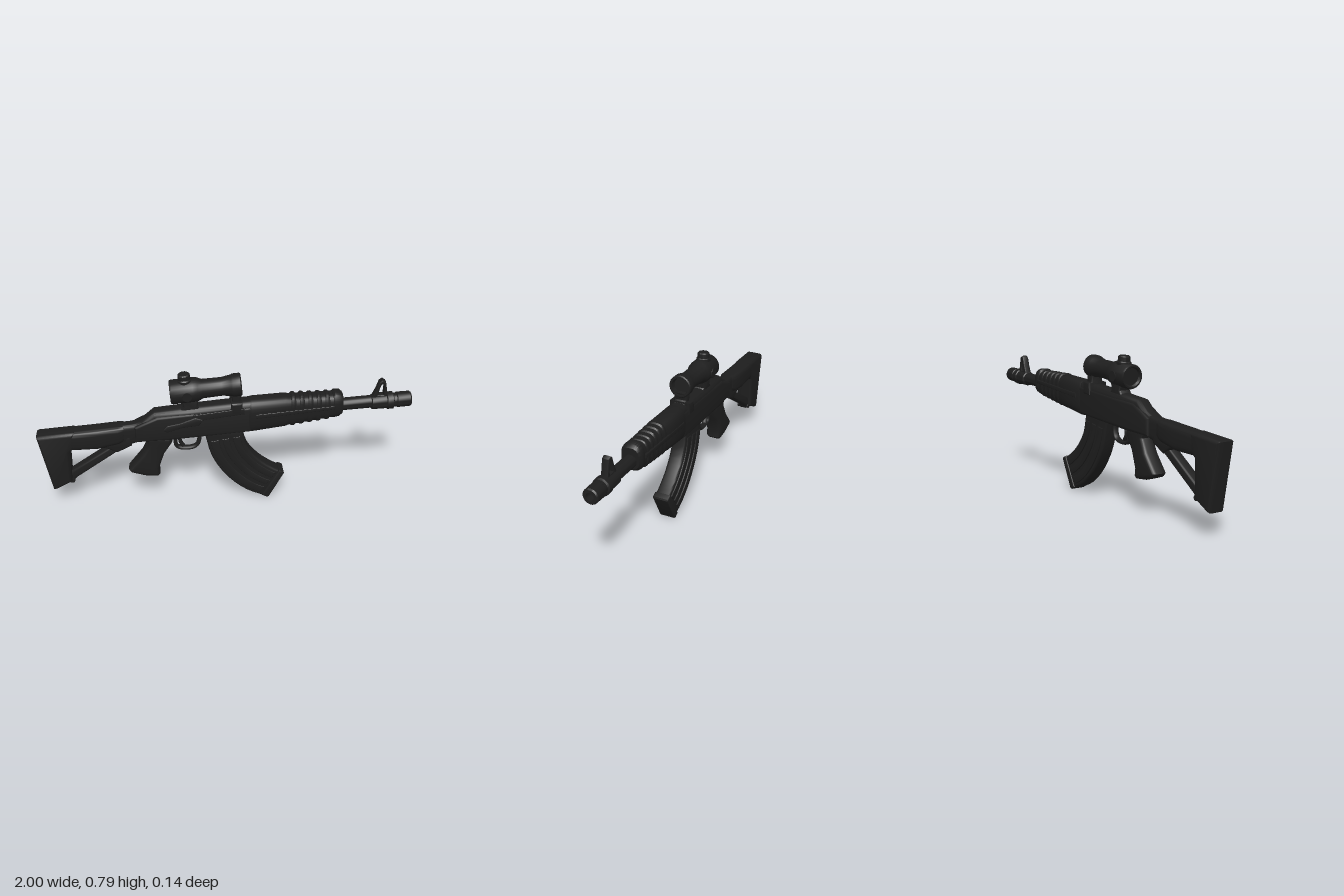
import * as THREE from 'three';
import { toCreasedNormals } from 'three/addons/utils/BufferGeometryUtils.js';

export function createModel() {
  const model = new THREE.Group();
  const black = new THREE.MeshStandardMaterial({ color: 0x1e1e1e });
  black.name = 'matte black';

  const add = (name, geometry, x = 0, y = 0, z = 0, tilt = 0) => {
    const mesh = new THREE.Mesh(geometry, black);
    mesh.name = name;
    mesh.position.set(x, y, z);
    mesh.rotation.z = tilt;
    model.add(mesh);
    return mesh;
  };
  const vecs = (pts) => pts.map(([x, y]) => new THREE.Vector2(x, y));

  // Side profile given thickness along z, with rounded edges
  const slab = (pts, half, bevel, holes = []) => {
    const shape = new THREE.Shape(vecs(pts));
    holes.forEach((h) => shape.holes.push(new THREE.Path(vecs(h))));
    const g = new THREE.ExtrudeGeometry(shape, {
      depth: 2 * (half - bevel), bevelThickness: bevel, bevelSize: bevel,
      bevelOffset: -bevel, bevelSegments: 3, curveSegments: 8,
    });
    g.translate(0, 0, bevel - half);
    return toCreasedNormals(g, 0.7);
  };

  // Turned part along x from [x, radius] pairs
  const turned = (profile, sides = 28) => {
    const g = new THREE.LatheGeometry(vecs(profile.map(([x, r]) => [r, x])), sides);
    g.rotateZ(-Math.PI / 2);
    return toCreasedNormals(g, 0.6);
  };

  // Rounded box sections along x: [x, bottom, top, halfWidth]
  const loft = (stations, round = 0.45, n = 32) => {
    const first = stations[0], last = stations[stations.length - 1];
    const cap = ([x, b, t]) => [x, (b + t) / 2, (b + t) / 2, 0];
    const rings = [cap(first), ...stations, cap(last)];
    const pos = [], index = [];
    const bend = (v) => Math.sign(v) * Math.abs(v) ** round;
    for (const [x, b, t, w] of rings) {
      for (let i = 0; i < n; i++) {
        const a = (i / n) * Math.PI * 2;
        pos.push(x, (b + t) / 2 + (bend(Math.sin(a)) * (t - b)) / 2, bend(Math.cos(a)) * w);
      }
    }
    for (let r = 0; r < rings.length - 1; r++) {
      for (let i = 0; i < n; i++) {
        const a = r * n + i, b = r * n + ((i + 1) % n);
        index.push(a, b, a + n, b, b + n, a + n);
      }
    }
    const g = new THREE.BufferGeometry();
    g.setAttribute('position', new THREE.Float32BufferAttribute(pos, 3));
    g.setIndex(index);
    // Wind the faces outward
    for (let i = 0; i < index.length; i += 3) {
      const s = index[i + 1];
      index[i + 1] = index[i + 2];
      index[i + 2] = s;
    }
    g.setIndex(index);
    return toCreasedNormals(g, 0.75);
  };

  // Stock: butt, upper tube, diagonal strut and gusset
  add('buttPad', slab([[-1, 0.46], [-0.94, 0.12], [-0.92, 0.125], [-0.835, 0.17], [-0.83, 0.36],
    [-0.8, 0.39], [-0.8, 0.48], [-0.99, 0.465]], 0.05, 0.018));
  add('stockTube', loft([[-0.9, 0.37, 0.472, 0.047], [-0.8, 0.368, 0.48, 0.05], [-0.68, 0.37, 0.49, 0.05],
    [-0.57, 0.395, 0.5, 0.049], [-0.54, 0.41, 0.502, 0.04]]));
  add('stockLowerRail', slab([[-0.72, 0.38], [-0.64, 0.37], [-0.58, 0.34], [-0.5, 0.38], [-0.5, 0.44],
    [-0.6, 0.44]], 0.036, 0.012));
  add('stockStrut', slab([[-0.86, 0.15], [-0.83, 0.155], [-0.81, 0.185], [-0.57, 0.35], [-0.6, 0.385],
    [-0.86, 0.21]], 0.03, 0.012));
  add('stockCatch', new THREE.CylinderGeometry(0.015, 0.015, 0.07, 14).rotateX(Math.PI / 2), -0.835, 0.172);
  add('stockNeck', loft([[-0.57, 0.38, 0.5, 0.038], [-0.5, 0.385, 0.507, 0.035], [-0.46, 0.4, 0.515, 0.038],
    [-0.4, 0.41, 0.53, 0.04]]));

  // Receiver body with its sloping rear cover
  add('receiver', slab([[-0.48, 0.41], [-0.3, 0.415], [0.14, 0.45], [0.14, 0.6], [-0.36, 0.56],
    [-0.48, 0.5]], 0.053, 0.014));
  add('receiverCover', loft([[-0.48, 0.43, 0.51, 0.036], [-0.44, 0.44, 0.527, 0.04], [-0.375, 0.46, 0.583, 0.046],
    [-0.2, 0.47, 0.6, 0.05], [0.15, 0.49, 0.63, 0.05]], 0.6));

  // Charging handle and lever on the +z side
  add('boltSlot', slab([[-0.18, 0.53], [-0.17, 0.57], [0.1, 0.6], [0.1, 0.565]], 0.006, 0.003), 0, 0, 0.052);
  add('chargingHandle', slab([[-0.33, 0.49], [-0.31, 0.475], [-0.23, 0.5], [-0.14, 0.51], [-0.12, 0.545],
    [-0.16, 0.56], [-0.24, 0.53], [-0.31, 0.515]], 0.012, 0.006), 0, 0, 0.056);

  // Pistol grip
  add('grip', slab([[-0.43, 0.43], [-0.415, 0.39], [-0.45, 0.32], [-0.525, 0.225], [-0.51, 0.205],
    [-0.44, 0.182], [-0.37, 0.175], [-0.355, 0.19], [-0.36, 0.23], [-0.33, 0.32], [-0.285, 0.39],
    [-0.28, 0.43]], 0.045, 0.022));

  // Trigger and guard
  const bar = (pts, r) => new THREE.TubeGeometry(
    new THREE.CatmullRomCurve3(pts.map(([x, y]) => new THREE.Vector3(x, y, 0))), 32, r, 10).scale(1, 1, 1.6);
  add('triggerGuard', bar([[-0.262, 0.43], [-0.265, 0.36], [-0.25, 0.342], [-0.18, 0.338], [-0.15, 0.355],
    [-0.138, 0.39], [-0.14, 0.44]], 0.011));
  add('trigger', bar([[-0.235, 0.43], [-0.243, 0.4], [-0.24, 0.375], [-0.225, 0.35]], 0.01));

  // Curved magazine, raised ribs on both sides, and floor plate
  const back = new THREE.CatmullRomCurve3([[-0.11, 0.44], [-0.07, 0.285], [0.015, 0.15], [0.12, 0.057], [0.225, 0.008]]
    .map(([x, y]) => new THREE.Vector3(x, y, 0)));
  const front = new THREE.CatmullRomCurve3([[0.09, 0.46], [0.12, 0.345], [0.185, 0.26], [0.25, 0.208], [0.315, 0.17]]
    .map(([x, y]) => new THREE.Vector3(x, y, 0)));
  const strip = (a, b, t0, t1) => {
    const pts = [];
    for (let i = 0; i <= 12; i++) {
      const t = t0 + ((t1 - t0) * i) / 12;
      pts.push(back.getPoint(t).lerp(front.getPoint(t), a));
    }
    for (let i = 12; i >= 0; i--) {
      const t = t0 + ((t1 - t0) * i) / 12;
      pts.push(back.getPoint(t).lerp(front.getPoint(t), b));
    }
    return pts.map((p) => [p.x, p.y]);
  };
  add('magazine', slab(strip(0, 1, 0, 1), 0.04, 0.012));
  for (const side of [1, -1]) {
    for (const [a, b] of [[0.1, 0.32], [0.42, 0.6], [0.7, 0.9]]) {
      add('magazineRib', slab(strip(a, b, 0.08, 0.9), 0.006, 0.003), 0, 0, side * 0.04);
    }
  }
  add('magazineFloor', slab([[0.205, 0.02], [0.235, 0.003], [0.245, 0.008], [0.325, 0.163], [0.322, 0.172],
    [0.295, 0.185]], 0.046, 0.008));

  // Handguard, its bands, and side vents
  add('handguard', loft([[0.12, 0.44, 0.625, 0.052], [0.14, 0.437, 0.632, 0.059], [0.32, 0.463, 0.642, 0.06],
    [0.335, 0.468, 0.638, 0.055], [0.58, 0.508, 0.645, 0.052]], 0.65));
  add('handguardCap', loft([[0.57, 0.505, 0.648, 0.05], [0.58, 0.502, 0.657, 0.056], [0.61, 0.51, 0.655, 0.056],
    [0.625, 0.525, 0.64, 0.048]], 0.75));
  for (let i = 0; i < 5; i++) {
    const x = 0.36 + i * 0.045;
    add('handguardBand', loft([[x - 0.013, 0.469 + i * 0.0075, 0.642, 0.054], [x - 0.006, 0.465 + i * 0.0075, 0.649, 0.057],
      [x + 0.006, 0.465 + i * 0.0075, 0.649, 0.057], [x + 0.013, 0.469 + i * 0.0075, 0.642, 0.054]], 0.65));
  }
  for (const side of [1, -1]) {
    add('handguardRail', slab([[0.16, 0.535], [0.58, 0.575], [0.58, 0.595], [0.16, 0.56]], 0.007, 0.003), 0, 0, side * 0.055);
  }

  // Barrel, muzzle and open bore
  const slope = 0.06;
  add('barrel', turned([[0, 0], [0, 0.034], [0.2, 0.034], [0.2, 0]]), 0.6, 0.569, 0, slope);
  add('muzzle', turned([[0, 0], [0, 0.032], [0.008, 0.041], [0.085, 0.042], [0.09, 0.047], [0.12, 0.047],
    [0.125, 0.038], [0.14, 0.038], [0.145, 0.042], [0.212, 0.041], [0.219, 0.035], [0.219, 0.021],
    [0.18, 0.019], [0.18, 0]]), 0.779, 0.577, 0, slope);

  // Front sight frame
  add('frontSight', slab([[0.78, 0.6], [0.805, 0.66], [0.817, 0.703], [0.833, 0.715], [0.85, 0.705],
    [0.86, 0.66], [0.872, 0.6]], 0.019, 0.006,
  [[[0.815, 0.625], [0.845, 0.625], [0.845, 0.675], [0.838, 0.688], [0.829, 0.688], [0.822, 0.665]]]));

  // Scope with hollow ends, knobs and mounts
  add('scope', turned([[0, 0], [0.012, 0.045], [0, 0.052], [0, 0.06], [0.01, 0.065], [0.12, 0.065], [0.145, 0.062],
    [0.17, 0.051], [0.27, 0.049], [0.32, 0.056], [0.33, 0.061], [0.368, 0.061], [0.374, 0.056],
    [0.374, 0.047], [0.345, 0.042], [0.345, 0]].slice(1)), -0.287, 0.684, 0, 0.085);
  add('scopeRearLens', new THREE.CircleGeometry(0.047, 28).rotateY(-Math.PI / 2), -0.275, 0.685, 0, 0.085);
  add('scopeTopKnob', turned([[0, 0], [0, 0.038], [0.025, 0.038], [0.03, 0.033], [0.053, 0.032], [0.058, 0.027],
    [0.058, 0]]), -0.209, 0.732, 0, Math.PI / 2 + 0.085);
  add('scopeSideKnob', new THREE.CylinderGeometry(0.025, 0.028, 0.136, 20).rotateX(Math.PI / 2), -0.2, 0.685);
  add('rearMount', slab([[-0.25, 0.57], [-0.22, 0.61], [-0.23, 0.65], [-0.14, 0.65], [-0.145, 0.61],
    [-0.12, 0.58]], 0.036, 0.01));
  add('frontMount', slab([[0.02, 0.59], [0.038, 0.63], [0.03, 0.68], [0.085, 0.68], [0.08, 0.64],
    [0.1, 0.61]], 0.036, 0.01));
  add('mountClamp', slab([[0.025, 0.56], [0.03, 0.628], [0.09, 0.633], [0.09, 0.565]], 0.058, 0.01));
  return model;
}
